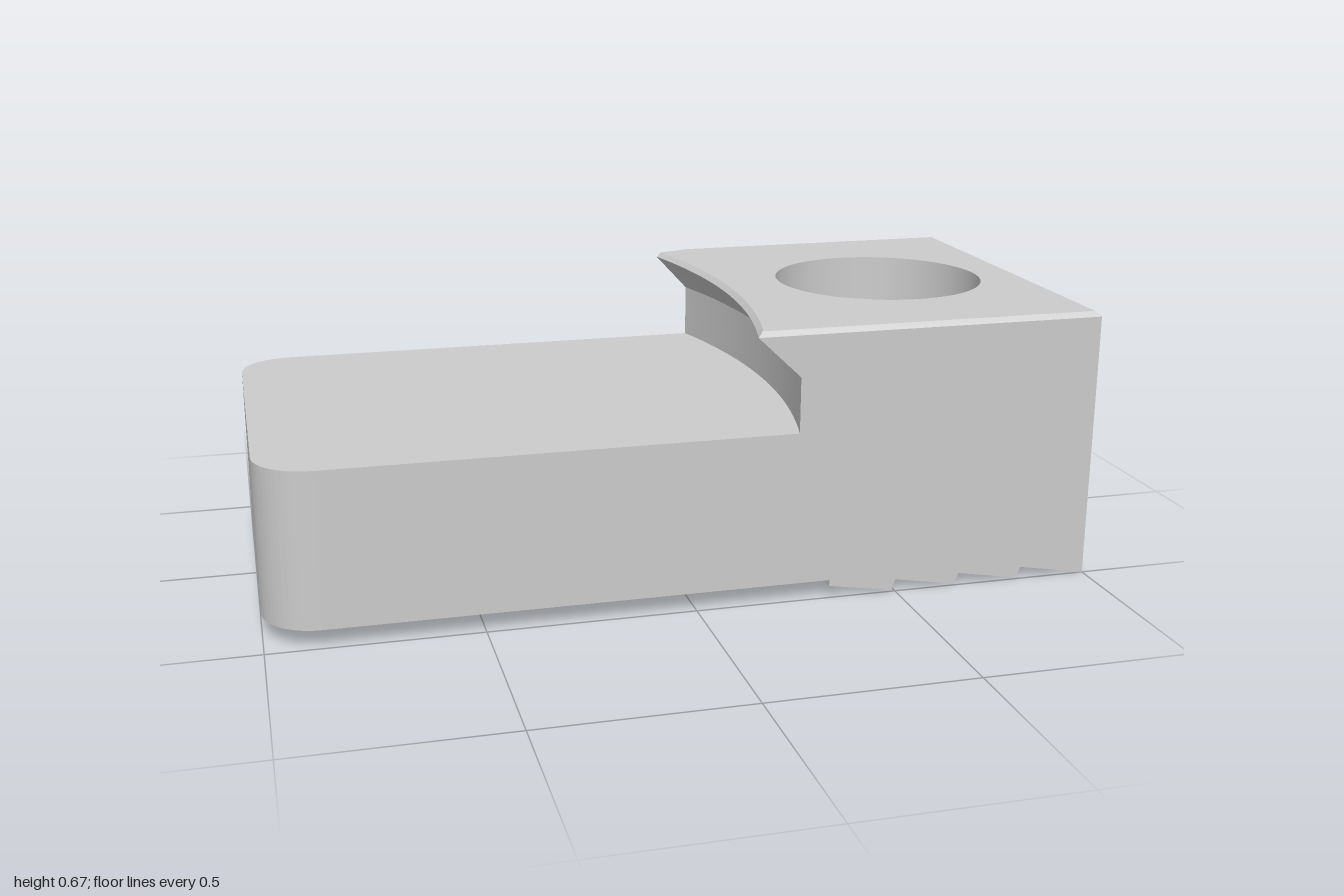
import * as THREE from 'three';
import { mergeGeometries, toCreasedNormals } from 'three/addons/utils/BufferGeometryUtils.js';

const HOLE_X = 0.625, HOLE_R = 0.145, BORE_R = 0.265;
const material = new THREE.MeshStandardMaterial({ color: 0xcccccc });

// Shallow concave arc of the jaw front; x is given at its ends (z = +-0.5)
const arcX = (endX, z) => endX + 0.065 * (1 - (z / 0.5) ** 2);

// Points along the arc, from z = z0 to z = z1
function arcPoints(endX, z0, z1, n = 32) {
  return Array.from({ length: n + 1 }, (_, i) => {
    const z = z0 + (z1 - z0) * i / n;
    return [arcX(endX, z), z];
  });
}

// Shape in plan from [x, z] points (shape y is -z)
const plan = (pts) => new THREE.Shape(pts.map(([x, z]) => new THREE.Vector2(x, -z)));

function addHole(shape, r) {
  shape.holes.push(new THREE.Path().absarc(HOLE_X, 0, r, 0, Math.PI * 2, true));
  return shape;
}

// Upright slab from y0 to y1; the rule may move vertices of its top or bottom
function slab(shape, y0, y1, rule) {
  const g = new THREE.ExtrudeGeometry(shape, { depth: y1 - y0, bevelEnabled: false, curveSegments: 64 });
  g.rotateX(-Math.PI / 2).translate(0, y0, 0);
  if (rule) {
    const p = g.attributes.position, v = new THREE.Vector3();
    for (let i = 0; i < p.count; i++) {
      v.fromBufferAttribute(p, i);
      rule(v, v.y > (y0 + y1) / 2);
      p.setXYZ(i, v.x, v.y, v.z);
    }
  }
  g.deleteAttribute('uv');
  return toCreasedNormals(g, 0.4);
}

// Full-length outline with two rounded corners at the far end
function baseOutline() {
  const r = 0.13, s = new THREE.Shape();
  s.moveTo(1, -0.5);
  s.lineTo(1, 0.5);
  s.lineTo(-1 + r, 0.5);
  s.absarc(-1 + r, 0.5 - r, r, Math.PI / 2, Math.PI, false);
  s.absarc(-1 + r, -0.5 + r, r, Math.PI, Math.PI * 1.5, false);
  return s;
}

// Sawtooth strips under the clamping end, each split around the screw hole
function teeth() {
  const profile = [[0.33, 0.03], [0.49, 0.003], [0.5, 0.03], [0.655, 0.003],
    [0.665, 0.03], [0.82, 0.003], [0.83, 0.03], [1, 0]];
  const parts = [];
  for (let i = 0; i < profile.length - 1; i++) {
    const [x0, y0] = profile[i], [x1, y1] = profile[i + 1];
    const xs = [x0, x1];
    for (let k = 0; k <= 32; k++) {
      const x = HOLE_X - HOLE_R * Math.cos(k * Math.PI / 32);
      if (x > x0 + 1e-4 && x < x1 - 1e-4) xs.push(x);
    }
    xs.sort((a, b) => a - b);
    for (const side of [1, -1]) {
      const inner = xs.map((x) => [x, side * Math.sqrt(Math.max(0, HOLE_R ** 2 - (x - HOLE_X) ** 2))]);
      const shape = plan([...inner, [x1, side * 0.5], [x0, side * 0.5]]);
      parts.push(slab(shape, 0, 0.045, (v, top) => {
        if (!top) v.y = y0 + (y1 - y0) * (v.x - x0) / (x1 - x0);
      }));
    }
  }
  return mergeGeometries(parts);
}

export function createModel() {
  const group = new THREE.Group();
  const add = (name, geometry) => {
    const mesh = new THREE.Mesh(geometry, material);
    mesh.name = name;
    group.add(mesh);
  };

  // Base: narrow screw hole below, wide counterbore above
  add('basePlate', mergeGeometries([
    slab(addHole(baseOutline(), HOLE_R), 0.045, 0.27),
    slab(addHole(baseOutline(), BORE_R), 0.27, 0.42),
  ]));
  add('gripTeeth', teeth());

  // Upright block with concave front wall
  const wall = plan([...arcPoints(0.245, -0.5, 0.5), [1, 0.5], [1, -0.5]]);
  add('jawBlock', slab(addHole(wall, BORE_R), 0.42, 0.555));

  // Undercut lip with one corner cut away
  const lipPlan = () => addHole(
    plan([[0.235, -0.5], ...arcPoints(0.14, -0.46, 0.5), [1, 0.5], [1, -0.5]]), BORE_R);
  add('jawLip', slab(lipPlan(), 0.555, 0.655, (v, top) => {
    if (top || v.x > 0.24) return;
    if (v.z < 0) v.z = Math.max(-0.5, v.z * 0.5 / 0.46);
    v.x = arcX(0.245, v.z);
  }));

  // Chamfered top face
  add('jawTop', slab(lipPlan(), 0.655, 0.667, (v, top) => {
    if (!top) return;
    v.x = v.x < 0.24 ? v.x + 0.012 : Math.min(v.x, 0.988);
    v.z = THREE.MathUtils.clamp(v.z, -0.488, 0.488);
  }));

  return group;
}
